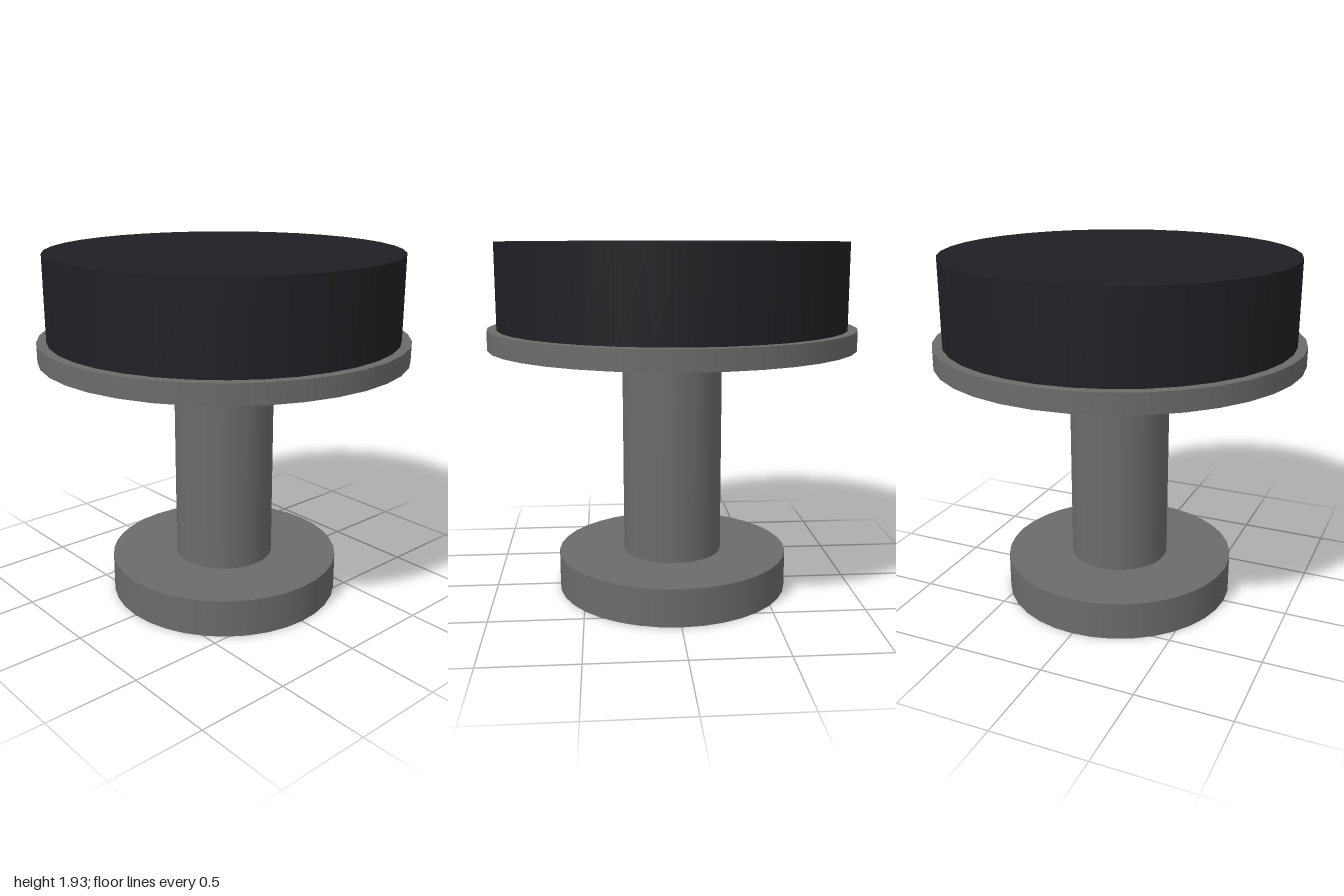
import * as THREE from 'three';

const metal = new THREE.MeshStandardMaterial({ color: 0x6b6b6b });
const padding = new THREE.MeshStandardMaterial({ color: 0x201f24 });

// Upright disc spanning the heights bottom..top
function disc(name, radius, bottom, top, material) {
  const geometry = new THREE.CylinderGeometry(radius, radius, top - bottom, 36);
  const mesh = new THREE.Mesh(geometry, material);
  mesh.name = name;
  mesh.position.y = (bottom + top) / 2;
  return mesh;
}

export function createModel() {
  const stool = new THREE.Group();
  stool.name = 'stool';
  stool.add(
    disc('base', 0.643, 0, 0.207, metal),
    disc('column', 0.275, 0.207, 1.37, metal),
    disc('seatPlate', 1, 1.37, 1.475, metal),
    disc('seatCushion', 0.948, 1.475, 1.932, padding),
  );
  return stool;
}
